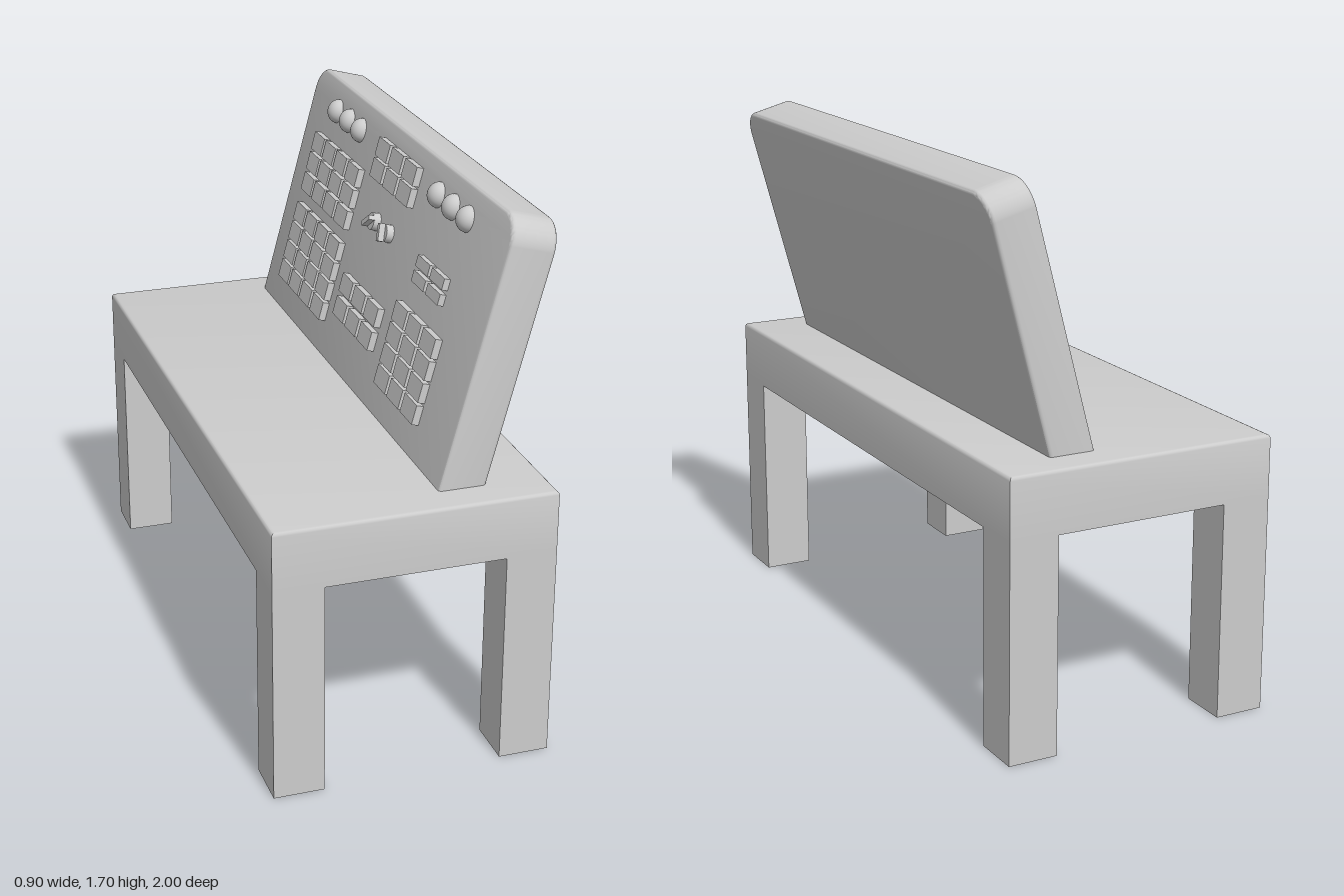
import * as THREE from 'three';
import { toCreasedNormals } from 'three/addons/utils/BufferGeometryUtils.js';

const grey = new THREE.MeshStandardMaterial({ color: 0xcccccc });
grey.name = 'light grey';

function add(parent, geometry, name, x = 0, y = 0, z = 0) {
  const mesh = new THREE.Mesh(geometry, grey);
  mesh.name = name;
  mesh.position.set(x, y, z);
  parent.add(mesh);
  return mesh;
}

// Slab whose top edge alone is softened
function slabGeometry(w, h, d, r) {
  const a = w / 2 - r, b = d / 2 - r;
  const shape = new THREE.Shape([[-a, -b], [a, -b], [a, b], [-a, b]].map(p => new THREE.Vector2(...p)));
  const geo = new THREE.ExtrudeGeometry(shape, { depth: h - r, bevelThickness: r, bevelSize: r, bevelSegments: 3 });
  const p = geo.attributes.position;
  for (let i = 0; i < p.count; i++) {
    if (p.getZ(i) < 1e-5) p.setXYZ(i, Math.sign(p.getX(i)) * w / 2, Math.sign(p.getY(i)) * d / 2, 0);
  }
  geo.rotateX(-Math.PI / 2);
  geo.computeVertexNormals();
  return toCreasedNormals(geo, 0.6);
}

// Upright board with two rounded top corners and softened rims
function boardGeometry(halfWidth, bottom, top, thickness, radius, bevel) {
  const w = halfWidth - bevel, t = top - bevel, r = radius - bevel;
  const s = new THREE.Shape();
  s.moveTo(-w, bottom);
  s.lineTo(w, bottom);
  s.lineTo(w, t - r);
  s.absarc(w - r, t - r, r, 0, Math.PI / 2);
  s.lineTo(-w + r, t);
  s.absarc(-w + r, t - r, r, Math.PI / 2, Math.PI);
  const geo = new THREE.ExtrudeGeometry(s, {
    depth: thickness - 2 * bevel, bevelThickness: bevel, bevelSize: bevel, bevelSegments: 3, curveSegments: 10,
  });
  geo.translate(0, 0, bevel);
  geo.rotateY(Math.PI / 2);
  return toCreasedNormals(geo, 0.6);
}

export function createModel() {
  const model = new THREE.Group();
  model.name = 'controlDesk';

  // Table
  const table = new THREE.Group();
  table.name = 'table';
  model.add(table);
  add(table, slabGeometry(0.886, 0.197, 2, 0.012), 'tableTop', -0.013, 0.69, 0);
  const leg = new THREE.BoxGeometry(0.16, 0.69, 0.16);
  for (const x of [-0.376, 0.35]) {
    for (const z of [-0.92, 0.92]) add(table, leg, 'tableLeg', x, 0.345, z);
  }

  // Tilted panel; its face looks toward local -x
  const panel = new THREE.Group();
  panel.name = 'controlPanel';
  panel.position.set(0.09, 0.887, 0);
  panel.rotation.z = -Math.PI / 12;
  model.add(panel);
  add(panel, boardGeometry(0.893, -0.06, 0.85, 0.146, 0.09, 0.012), 'panelBoard');

  // Button blocks: column centres along z, row bottoms up the face
  const left = [-0.672, -0.553, -0.434, -0.312];
  const middle = [-0.11, 0.013, 0.135];
  const right = [0.35, 0.47, 0.591];
  const fourRows = [0.105, 0.177, 0.249, 0.321];
  const blocks = [
    { name: 'lowerLeftButton', cols: left, rows: fourRows, h: 0.063, depth: 0.023 },
    { name: 'upperLeftButton', cols: left, rows: [0.432, 0.507, 0.58], h: 0.063, depth: 0.023 },
    { name: 'lowerMiddleButton', cols: middle, rows: [0.168, 0.249], h: 0.063, depth: 0.023 },
    { name: 'upperMiddleButton', cols: middle, rows: [0.653, 0.723], h: 0.062, depth: 0.023 },
    { name: 'lowerRightButton', cols: right, rows: fourRows, h: 0.063, depth: 0.023 },
    { name: 'smallButton', cols: [0.41, 0.531], rows: [0.47, 0.52], h: 0.036, depth: 0.02 },
  ];
  for (const { name, cols, rows, h, depth } of blocks) {
    const button = new THREE.BoxGeometry(depth + 0.01, h, 0.104);
    for (const z of cols) {
      for (const y of rows) add(panel, button, name, (0.01 - depth) / 2, y + h / 2, z);
    }
  }

  // Domed lamps
  const dome = new THREE.SphereGeometry(0.041, 24, 10, 0, Math.PI * 2, 0, Math.PI / 2);
  dome.rotateZ(Math.PI / 2);
  for (const z of [-0.62, -0.497, -0.378, 0.345, 0.467, 0.583]) {
    add(panel, dome, 'domeLamp', 0, 0.748, z).scale.x = 0.9;
  }

  // Rotary knobs, each a disc with a turned grip
  const disc = new THREE.CylinderGeometry(0.028, 0.03, 0.028, 20);
  disc.rotateZ(Math.PI / 2);
  const grip = new THREE.BoxGeometry(0.022, 0.058, 0.016);
  [[-0.05, 0.9], [0.073, -0.35]].forEach(([z, turn]) => {
    const knob = new THREE.Group();
    knob.name = 'rotaryKnob';
    knob.position.set(0, 0.53, z);
    knob.rotation.x = turn;
    panel.add(knob);
    add(knob, disc, 'knobDisc', -0.01);
    add(knob, grip, 'knobGrip', -0.033);
  });

  return model;
}
